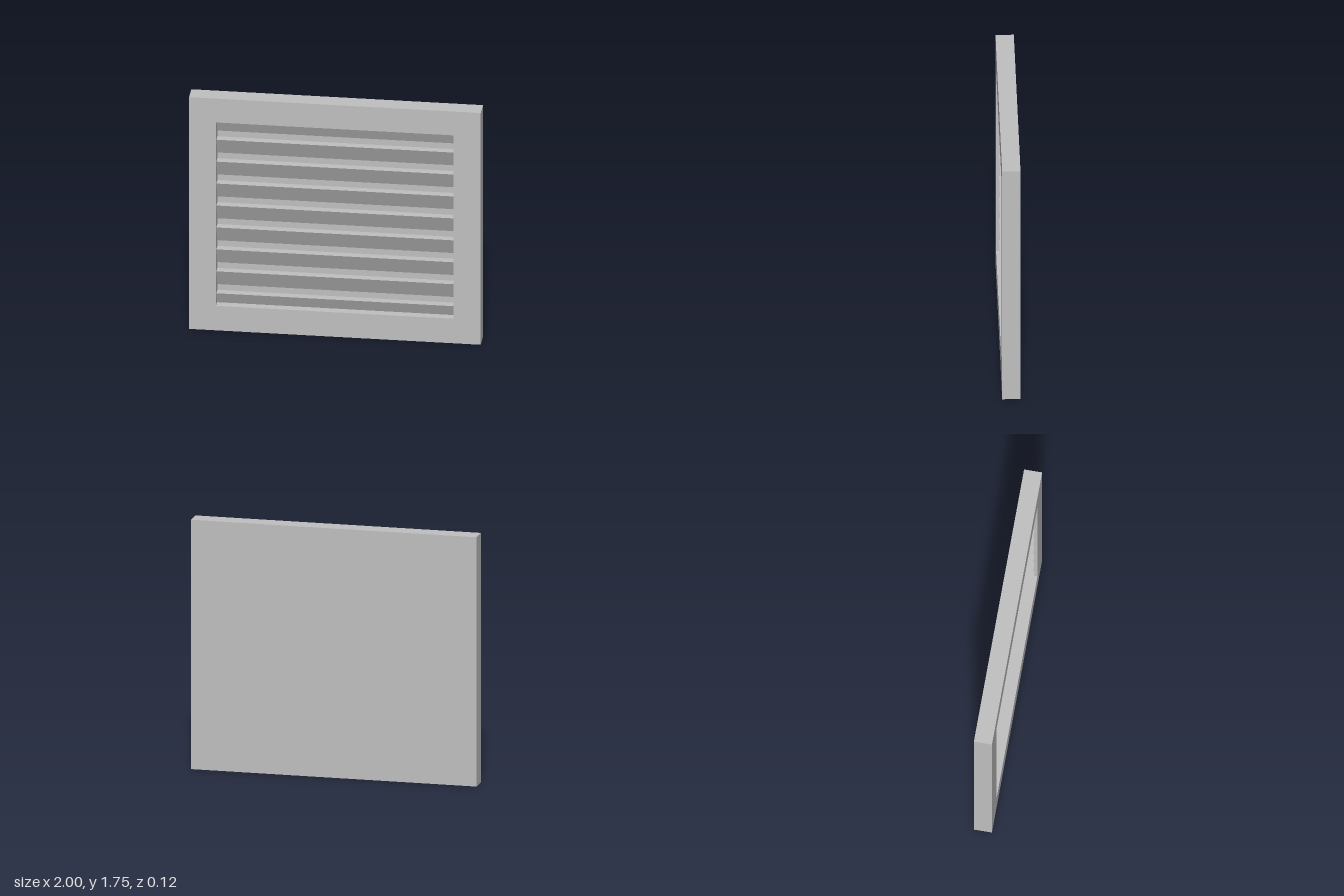
import * as THREE from 'three';

export function createModel() {
  const group = new THREE.Group();
  const grey = new THREE.MeshStandardMaterial({ color: 0xc0c0c0 });
  grey.name = 'light grey';

  const add = (name, geometry, x, y, z) => {
    const mesh = new THREE.Mesh(geometry, grey);
    mesh.name = name;
    mesh.position.set(x, y, z);
    group.add(mesh);
    return mesh;
  };

  const width = 2, height = 1.75, front = 0.0625;
  const wall = -0.0125;                 // recessed wall behind the slats
  const halfOpen = 0.815, sill = 0.185, lintel = 1.57;

  // Frame with a rectangular opening
  const outline = new THREE.Shape([
    new THREE.Vector2(-width / 2, 0), new THREE.Vector2(width / 2, 0),
    new THREE.Vector2(width / 2, height), new THREE.Vector2(-width / 2, height),
  ]);
  outline.holes.push(new THREE.Path([
    new THREE.Vector2(-halfOpen, sill), new THREE.Vector2(-halfOpen, lintel),
    new THREE.Vector2(halfOpen, lintel), new THREE.Vector2(halfOpen, sill),
  ]));
  add('frame', new THREE.ExtrudeGeometry(outline, { depth: front - wall, bevelEnabled: false }), 0, 0, wall);

  // Solid back panel
  const backDepth = wall + front;
  add('backPanel', new THREE.BoxGeometry(width, height, backDepth), 0, height / 2, -front + backDepth / 2);

  // Wedge slats: flat top, face sloping down and back to the wall,
  // with the end slats trimmed to the opening
  const pitch = 0.1657, slatHeight = 0.1225, slatDepth = 0.055;
  for (let i = 0; i < 9; i++) {
    const tip = 1.596 - i * pitch, base = tip - slatHeight;
    const top = Math.min(tip, lintel), bottom = Math.max(base, sill);
    const depthAt = (y) => slatDepth * (y - base) / slatHeight;
    const section = [new THREE.Vector2(0, bottom)];
    if (bottom > base) section.push(new THREE.Vector2(-depthAt(bottom), bottom));
    section.push(new THREE.Vector2(-depthAt(top), top), new THREE.Vector2(0, top));
    const slat = new THREE.ExtrudeGeometry(new THREE.Shape(section), { depth: 2 * halfOpen, bevelEnabled: false });
    slat.rotateY(Math.PI / 2);          // section depth now runs along +z, length along +x
    add('slat', slat, -halfOpen, 0, wall);
  }
  return group;
}
